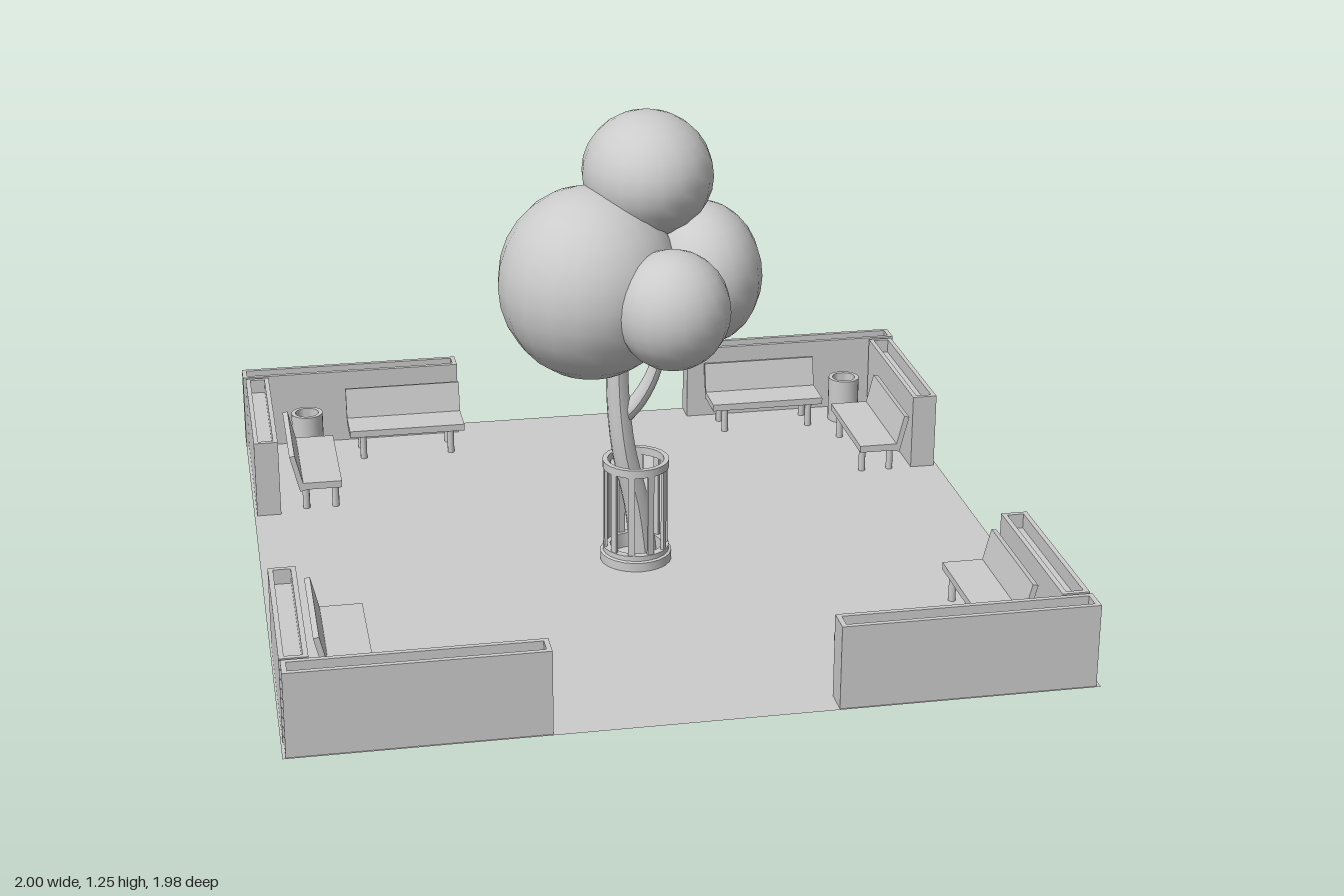
import * as THREE from 'three';
import { toCreasedNormals } from 'three/addons/utils/BufferGeometryUtils.js';

const grey = new THREE.MeshStandardMaterial({ color: 0xcccccc });
const greyThin = new THREE.MeshStandardMaterial({ color: 0xcccccc, side: THREE.DoubleSide });
const GROUND = 0.01;

function add(parent, name, geometry, x = 0, y = 0, z = 0, material = grey) {
  const mesh = new THREE.Mesh(geometry, material);
  mesh.name = name;
  mesh.position.set(x, y, z);
  parent.add(mesh);
  return mesh;
}

function group(parent, name, x = 0, y = 0, z = 0) {
  const g = new THREE.Group();
  g.name = name;
  g.position.set(x, y, z);
  parent.add(g);
  return g;
}

// Lathe with crisp corners from [radius, height] pairs
function turned(profile, segments = 24) {
  const points = profile.map(([r, y]) => new THREE.Vector2(r, y));
  return toCreasedNormals(new THREE.LatheGeometry(points, segments), 0.6);
}

// Tube along a smooth path whose radius runs from r0 to r1
function taperedTube(path, r0, r1, steps = 14, sides = 10) {
  const curve = new THREE.CatmullRomCurve3(path.map((p) => new THREE.Vector3(...p)));
  const geometry = new THREE.TubeGeometry(curve, steps, 1, sides);
  const pos = geometry.attributes.position;
  const v = new THREE.Vector3();
  for (let i = 0; i < pos.count; i++) {
    const t = Math.floor(i / (sides + 1)) / steps;
    const centre = curve.getPointAt(t);
    v.fromBufferAttribute(pos, i).sub(centre).multiplyScalar(r0 + (r1 - r0) * t).add(centre);
    pos.setXYZ(i, v.x, v.y, v.z);
  }
  geometry.computeVertexNormals();
  return geometry;
}

function rectangle(Type, w, d) {
  const p = new Type();
  p.moveTo(-w / 2, -d / 2);
  p.lineTo(w / 2, -d / 2);
  p.lineTo(w / 2, d / 2);
  p.lineTo(-w / 2, d / 2);
  p.closePath();
  return p;
}

// Planter wall: raised rim around a sunken fill
function planterWall(parent, x0, x1, z0, z1) {
  const w = x1 - x0, d = z1 - z0, height = 0.22, rim = 0.013;
  const g = group(parent, 'planterWall', (x0 + x1) / 2, GROUND, (z0 + z1) / 2);
  const shape = rectangle(THREE.Shape, w, d);
  shape.holes.push(rectangle(THREE.Path, w - 2 * rim, d - 2 * rim));
  const shell = new THREE.ExtrudeGeometry(shape, { depth: height, bevelEnabled: false });
  add(g, 'planterShell', shell.rotateX(-Math.PI / 2));
  const fillHeight = height - 0.04;
  add(g, 'planterFill', new THREE.BoxGeometry(w - 2 * rim, fillHeight, d - 2 * rim), 0, fillHeight / 2, 0);
}

// Bench facing its own +z
function bench(parent, x, z, turn) {
  const g = group(parent, 'bench', x, 0, z);
  g.rotation.y = turn;
  const length = 0.34;
  add(g, 'seat', new THREE.BoxGeometry(length, 0.02, 0.112), 0, 0.092, 0.016);
  const back = add(g, 'backrest', new THREE.BoxGeometry(length, 0.11, 0.015), 0, 0.132, -0.052);
  back.rotation.x = -0.24;
  for (const sx of [-1, 1]) {
    for (const lz of [-0.028, 0.055]) {
      add(g, 'leg', new THREE.CylinderGeometry(0.01, 0.01, 0.085, 10), sx * 0.13, 0.0425, lz);
    }
  }
}

// Slatted guard around the tree trunk
function treeGuard(parent) {
  const g = group(parent, 'treeGuard', 0.01, 0, 0.05);
  add(g, 'guardBase', turned([
    [0.07, 0.005], [0.097, 0.005], [0.097, 0.035], [0.09, 0.038],
    [0.09, 0.052], [0.07, 0.052], [0.07, 0.005],
  ]));
  add(g, 'guardTopRing', turned([
    [0.076, 0.28], [0.09, 0.28], [0.09, 0.302], [0.076, 0.302], [0.076, 0.28],
  ]));
  const bars = 10;
  for (let i = 0; i < bars; i++) {
    const a = ((i + 0.5) / bars) * Math.PI * 2;
    const bar = add(g, 'guardBar', new THREE.BoxGeometry(0.018, 0.24, 0.008),
      Math.sin(a) * 0.083, 0.166, Math.cos(a) * 0.083);
    bar.rotation.y = a;
  }
}

function tree(parent) {
  const g = group(parent, 'tree');
  add(g, 'trunk', taperedTube(
    [[0.04, 0.0, 0.005], [0.02, 0.15, 0.01], [-0.018, 0.32, 0.018], [-0.033, 0.5, 0.01], [-0.025, 0.72, 0]],
    0.037, 0.028));
  add(g, 'branch', taperedTube(
    [[-0.02, 0.41, 0.012], [0.02, 0.455, 0.02], [0.065, 0.54, 0.022], [0.095, 0.7, 0.02]],
    0.025, 0.012));
  // Crown: centre, then radii
  const crown = [
    [-0.11, 0.805, 0.035, 0.243, 0.255, 0.265],
    [0.055, 1.075, -0.03, 0.173, 0.165, 0.205],
    [0.19, 0.81, 0.018, 0.16, 0.19, 0.207],
    [0.07, 0.79, 0.245, 0.15, 0.157, 0.155],
  ];
  for (const [x, y, z, rx, ry, rz] of crown) {
    add(g, 'foliage', new THREE.SphereGeometry(1, 20, 14), x, y, z).scale.set(rx, ry, rz);
  }
}

export function createModel() {
  const model = new THREE.Group();
  model.name = 'plaza';

  // Paved floor
  add(model, 'paving', new THREE.PlaneGeometry(2, 1.98).rotateX(-Math.PI / 2), 0, GROUND, 0, greyThin);

  // Corner planter walls: x from, x to, z from, z to
  const walls = [
    [-1, -0.36, -0.99, -0.922], [-0.992, -0.925, -0.91, -0.405],
    [0.35, 1, -0.99, -0.922], [0.92, 0.99, -0.908, -0.415],
    [-0.992, -0.36, 0.916, 0.985], [-0.995, -0.925, 0.412, 0.91],
    [0.34, 0.99, 0.916, 0.985], [0.917, 0.987, 0.42, 0.908],
  ];
  for (const w of walls) planterWall(model, ...w);

  // Two benches per corner: x, z, turn
  const q = Math.PI / 2;
  const benches = [
    [-0.53, -0.828, 0], [0.57, -0.843, 0],
    [-0.823, -0.57, q], [-0.832, 0.56, q],
    [0.827, -0.55, -q], [0.835, 0.59, -q],
    [-0.562, 0.823, 2 * q], [0.55, 0.838, 2 * q],
  ];
  for (const b of benches) bench(model, ...b);

  // Open litter bins in the corners
  const bin = turned([
    [0, 0], [0.046, 0], [0.046, 0.135], [0.034, 0.135], [0.034, 0.03], [0, 0.03],
  ]);
  for (const sx of [-1, 1]) {
    for (const sz of [-1, 1]) add(model, 'litterBin', bin, sx * 0.82, GROUND, sz * 0.825);
  }

  treeGuard(model);
  tree(model);
  return model;
}
